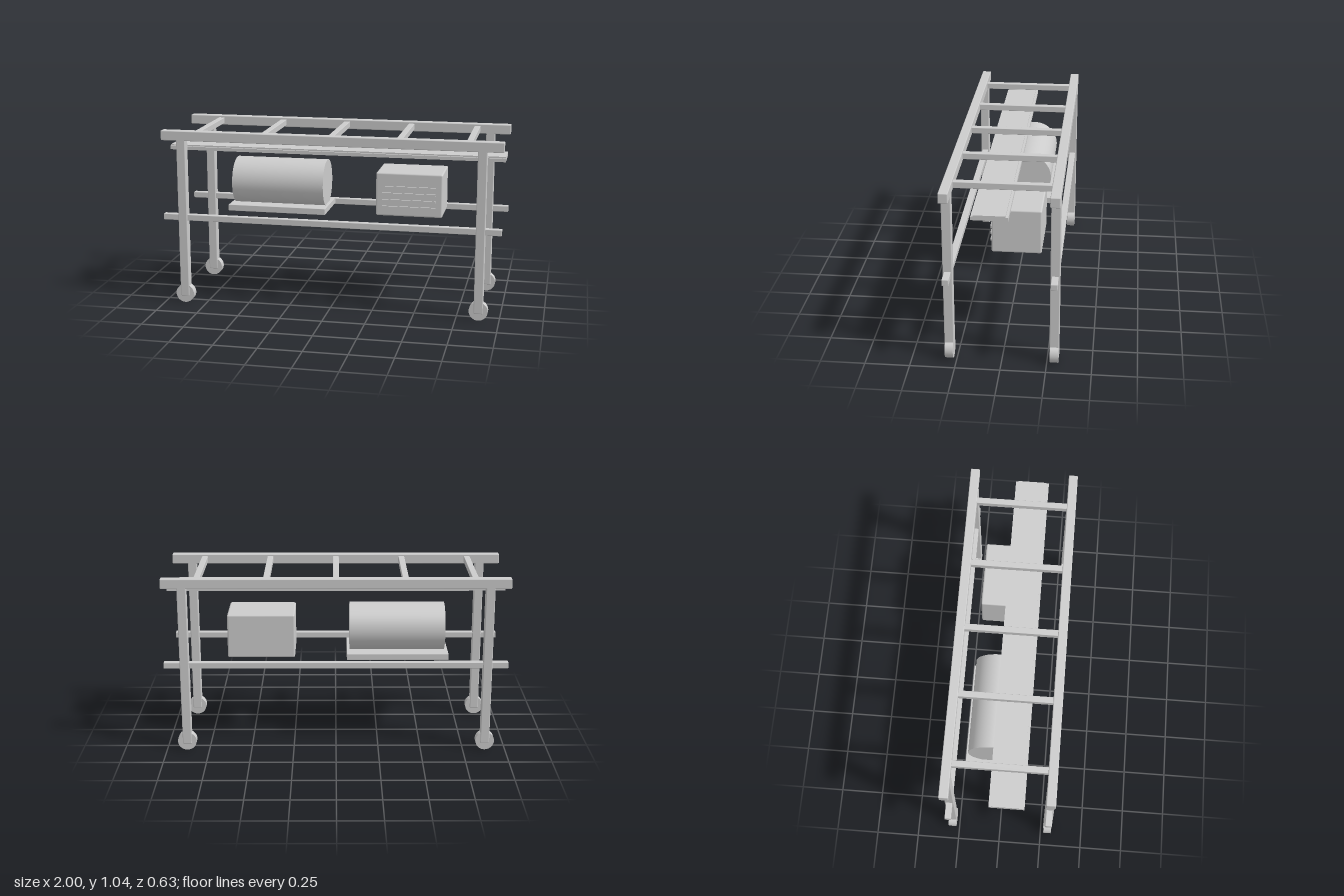
import * as THREE from 'three';
import { RoundedBoxGeometry } from 'three/addons/geometries/RoundedBoxGeometry.js';

export function createModel() {
  const model = new THREE.Group();
  model.name = 'rollingRack';
  const metal = new THREE.MeshStandardMaterial({ color: 0xcccccc });
  metal.name = 'light grey metal';

  const add = (parent, name, geometry, x, y, z) => {
    const mesh = new THREE.Mesh(geometry, metal);
    mesh.name = name;
    mesh.position.set(x, y, z);
    parent.add(mesh);
    return mesh;
  };
  // Bar with softly rounded edges
  const bar = (parent, name, w, h, d, x, y, z, r = 0.005) =>
    add(parent, name, new RoundedBoxGeometry(w, h, d, 2, r), x, y, z);

  // Frame: the two sides are mirrored front to back
  const frame = new THREE.Group();
  frame.name = 'frame';
  model.add(frame);
  for (const side of [1, -1]) {
    const z = 0.291 * side;
    bar(frame, 'topRail', 2, 0.058, 0.053, 0, 1.016, z);
    bar(frame, 'middleRail', 2, 0.036, 0.037, 0, 0.525, z, 0.003);
    for (const x of [-0.88, 0.88]) {
      bar(frame, 'leg', 0.053, 0.96, 0.053, x, 0.52, z);
      const wheel = add(frame, 'wheel', new THREE.CylinderGeometry(0.055, 0.055, 0.046, 32), x, 0.055, z);
      wheel.rotation.x = Math.PI / 2;
    }
  }

  // Rungs across the top
  for (let i = -2; i <= 2; i++) {
    bar(frame, 'rung', 0.036, 0.036, 0.56, i * 0.4, 1.016, 0, 0.003);
  }

  // Long tray hanging below the rungs, with a slightly inset top layer
  const tray = new THREE.Group();
  tray.name = 'tray';
  model.add(tray);
  add(tray, 'trayBase', new THREE.BoxGeometry(2, 0.02, 0.198), 0, 0.912, 0.05);
  add(tray, 'trayTop', new THREE.BoxGeometry(2, 0.008, 0.17), 0, 0.926, 0.05);

  // Motor drum on its base plate
  const motor = new THREE.Group();
  motor.name = 'motor';
  model.add(motor);
  const drum = add(motor, 'drum', new THREE.CylinderGeometry(0.142, 0.142, 0.56, 48), -0.36, 0.691, -0.058);
  drum.rotation.z = Math.PI / 2;
  bar(motor, 'basePlate', 0.597, 0.038, 0.318, -0.362, 0.546, -0.058, 0.003);

  // Control box with four slats on its front
  const control = new THREE.Group();
  control.name = 'controlBox';
  model.add(control);
  bar(control, 'housing', 0.395, 0.26, 0.28, 0.438, 0.667, -0.058, 0.01);
  for (let i = 0; i < 4; i++) {
    add(control, 'slat', new THREE.BoxGeometry(0.318, 0.011, 0.02), 0.438, 0.713 - i * 0.04, 0.082);
  }
  return model;
}
